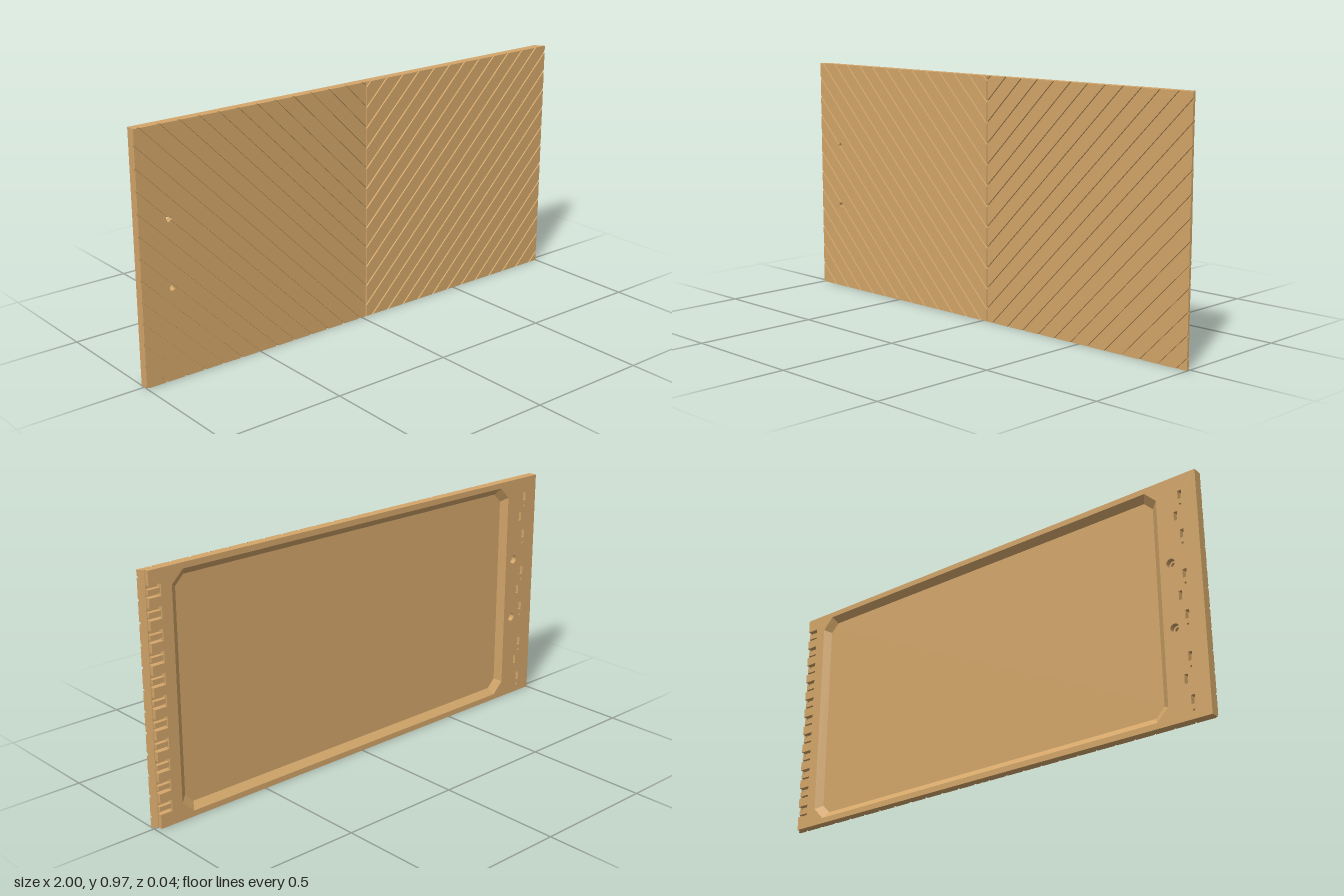
import * as THREE from 'three';

const H = 0.97, BACK = -0.019, FLOOR = 0.003, CORE = 0.012, FRONT = 0.019;
const CX = 0.022, PITCH = 0.082, GROOVE = 0.009, EDGE = 0.98;
const HOLES = [[-0.875, 0.62], [-0.875, 0.36]], HOLE_R = 0.011;

const wood = new THREE.MeshStandardMaterial({ color: 0xd4a76a });
wood.name = 'tan wood';

const toShape = pts => new THREE.Shape(pts.map(p => new THREE.Vector2(p[0], p[1])));
const rect = (x0, y0, x1, y1) => [[x0, y0], [x1, y0], [x1, y1], [x0, y1]];

// Rectangle with cut corners, counter-clockwise
const octagon = (x0, y0, x1, y1, c) => [
  [x0 + c, y0], [x1 - c, y0], [x1, y0 + c], [x1, y1 - c],
  [x1 - c, y1], [x0 + c, y1], [x0, y1 - c], [x0, y0 + c]];

const circle = ([x, y], r) => new THREE.Path().absarc(x, y, r, 0, Math.PI * 2, true);

function slab(name, shape, z0, z1) {
  const geo = new THREE.ExtrudeGeometry(shape, { depth: z1 - z0, bevelEnabled: false, curveSegments: 10 });
  geo.translate(0, 0, z0);
  const mesh = new THREE.Mesh(geo, wood);
  mesh.name = name;
  return mesh;
}

// Keeps the part of a polygon where sign * y <= sign * limit
function clipY(pts, limit, sign) {
  const out = [];
  pts.forEach((a, i) => {
    const b = pts[(i + 1) % pts.length];
    const da = sign * (limit - a[1]), db = sign * (limit - b[1]);
    if (da >= 0) out.push(a);
    if (da * db < 0) {
      const t = da / (da - db);
      out.push([a[0] + (b[0] - a[0]) * t, limit]);
    }
  });
  return out;
}

// Cuts a round bite where a counter-clockwise outline crosses a bolt hole
function bite(pts, [cx, cy], r) {
  const out = [];
  pts.forEach((a, i) => {
    const b = pts[(i + 1) % pts.length];
    out.push(a);
    const len = Math.hypot(b[0] - a[0], b[1] - a[1]);
    const ux = (b[0] - a[0]) / len, uy = (b[1] - a[1]) / len;
    const along = (cx - a[0]) * ux + (cy - a[1]) * uy;
    const off = (cx - a[0]) * uy - (cy - a[1]) * ux;
    if (Math.abs(off) >= r) return;
    const half = Math.sqrt(r * r - off * off);
    if (along - half <= 0 || along + half >= len) return;
    const angle = t => Math.atan2(a[1] + uy * t - cy, a[0] + ux * t - cx);
    const a1 = angle(along - half);
    let a2 = angle(along + half);
    if (a2 > a1) a2 -= Math.PI * 2;
    for (let k = 0; k <= 10; k++) {
      const q = a1 + (a2 - a1) * k / 10;
      out.push([cx + r * Math.cos(q), cy + r * Math.sin(q)]);
    }
  });
  return out;
}

// Diagonal boards on the face, meeting in downward chevrons at the centre groove
function boards(side) {
  const group = new THREE.Group();
  group.name = side > 0 ? 'leftBoards' : 'rightBoards';
  const d0 = 0.003, d1 = side > 0 ? 1 - CX : 1 + CX;
  for (let k = 0; k <= 25; k++) {
    const top = 0.951 - PITCH * (k - 1) - GROOVE / 2;
    const low = 0.951 - PITCH * k + GROOVE / 2;
    let pts = [[d0, low + d0], [d1, low + d1], [d1, top + d1], [d0, top + d0]];
    pts = clipY(clipY(pts, H, 1), 0, -1);
    if (pts.length < 3) continue;
    pts = pts.map(([d, y]) => [CX + side * d, y]);
    if (side < 0) pts.reverse();
    for (const h of HOLES) pts = bite(pts, h, HOLE_R);
    group.add(slab('board', toShape(pts), CORE, FRONT));
  }
  return group;
}

// Sloping walls between the rim of the back recess and its floor
function recessWalls(outer, inner) {
  const pos = [];
  outer.forEach((o, i) => {
    const j = (i + 1) % outer.length;
    const a = [...o, BACK], b = [...inner[i], FLOOR], c = [...inner[j], FLOOR], d = [...outer[j], BACK];
    pos.push(...a, ...b, ...c, ...a, ...c, ...d);
  });
  const geo = new THREE.BufferGeometry();
  geo.setAttribute('position', new THREE.Float32BufferAttribute(pos, 3));
  geo.computeVertexNormals();
  const mesh = new THREE.Mesh(geo, wood);
  mesh.name = 'recessWalls';
  return mesh;
}

export function createModel() {
  const model = new THREE.Group();
  model.name = 'grooved panel';
  model.add(boards(1), boards(-1));

  // Thin core behind the boards
  const core = toShape(rect(-1, 0, EDGE, H));
  HOLES.forEach(h => core.holes.push(circle(h, HOLE_R)));
  model.add(slab('core', core, FLOOR, CORE));

  // Overhanging lip along the left edge, undercut at an angle
  const lip = slab('edgeLip', toShape([[EDGE, -CORE], [1, -CORE], [1, -0.009], [EDGE + 0.002, 0.002], [EDGE, 0.002]]), 0, H);
  lip.rotation.x = -Math.PI / 2;
  model.add(lip);

  // Back frame, with comb notches along the left edge
  const outline = [[-1, 0], [EDGE, 0]];
  const notchX = 0.93, notchH = 0.045;
  const tongues = new THREE.Group();
  tongues.name = 'notchTongues';
  for (let k = 0; k < 11; k++) {
    const y = 0.078 + k * 0.0815;
    outline.push([EDGE, y - notchH / 2], [notchX, y - notchH / 2], [notchX, y + notchH / 2], [EDGE, y + notchH / 2]);
    const tongue = new THREE.Mesh(new THREE.BoxGeometry(EDGE - notchX, 0.018, 0.016), wood);
    tongue.name = 'tongue';
    tongue.position.set((EDGE + notchX) / 2, y - 0.003, FLOOR - 0.008);
    tongues.add(tongue);
  }
  outline.push([EDGE, H], [-1, H]);
  const frame = toShape(outline);
  const rim = octagon(-0.83, 0.023, 0.885, H - 0.023, 0.048);
  frame.holes.push(toShape(rim));

  // Counterbores and two columns of small slots
  HOLES.forEach(h => frame.holes.push(circle(h, 0.018)));
  const slot = (x, y, w, h) => frame.holes.push(toShape(rect(x - w / 2, y - h / 2, x + w / 2, y + h / 2)));
  for (let k = 0; k < 6; k++) {
    slot(-0.93, 0.073 + k * 0.163, 0.016, 0.034);
    slot(-0.93, 0.033 + k * 0.163, 0.008, 0.008);
  }
  for (let k = 0; k < 3; k++) slot(-0.908, 0.155 + k * 0.325, 0.014, 0.036);
  model.add(slab('backFrame', frame, BACK, FLOOR), tongues);

  model.add(recessWalls(rim, octagon(-0.802, 0.05, 0.857, H - 0.05, 0.036)));
  return model;
}
